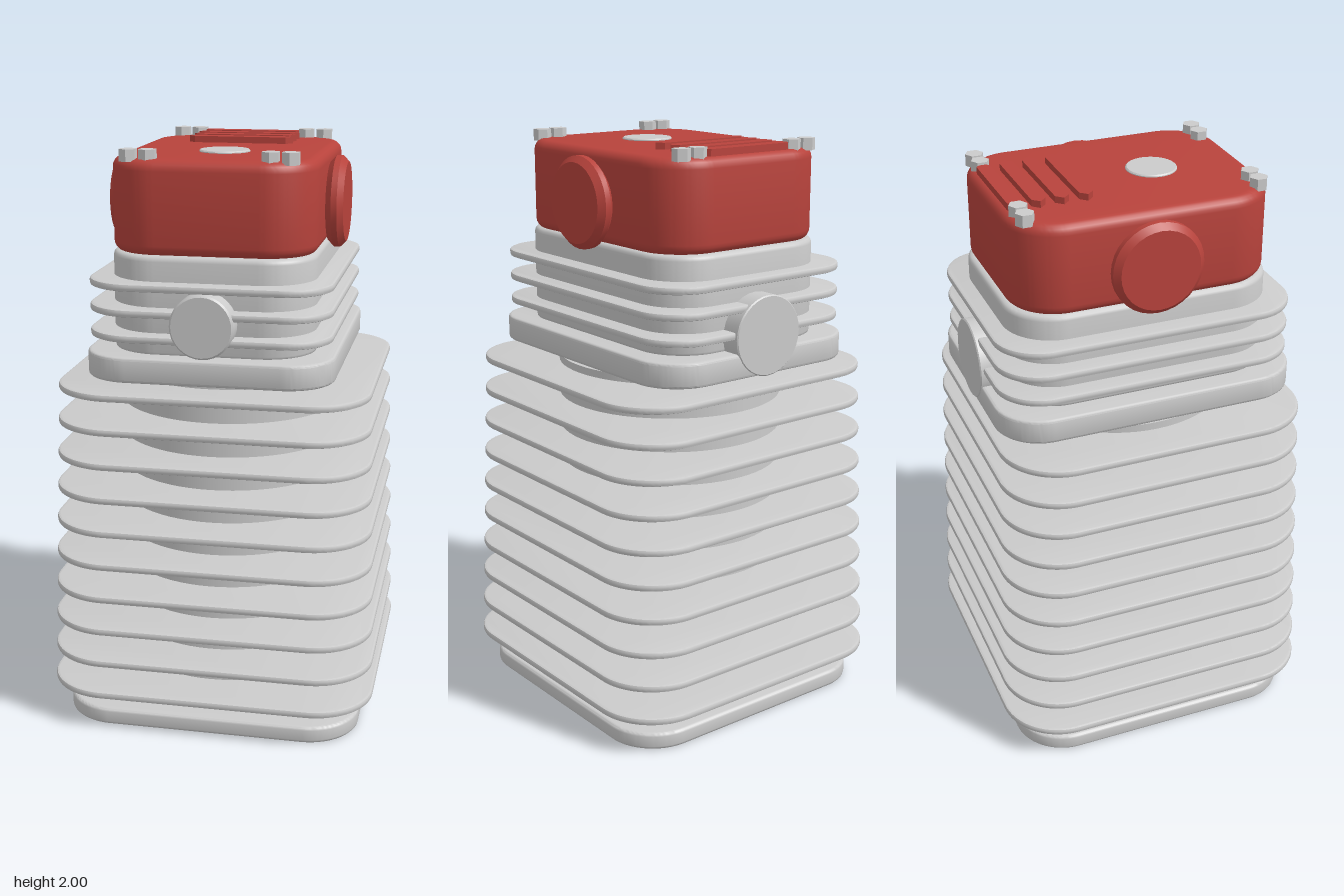
import * as THREE from 'three';
import { toCreasedNormals } from 'three/addons/utils/BufferGeometryUtils.js';

const grey = new THREE.MeshStandardMaterial({ color: 0xcccccc });
const red = new THREE.MeshStandardMaterial({ color: 0xb8433c });

// Rounded rectangle outline with half sizes a, b and corner radius r
function roundedRect(a, b, r) {
  const s = new THREE.Shape();
  s.absarc(a - r, b - r, r, 0, Math.PI / 2);
  s.absarc(-a + r, b - r, r, Math.PI / 2, Math.PI);
  s.absarc(-a + r, -b + r, r, Math.PI, Math.PI * 1.5);
  s.absarc(a - r, -b + r, r, Math.PI * 1.5, Math.PI * 2);
  s.closePath();
  return s;
}

function circle(r) {
  return new THREE.Shape().absarc(0, 0, r, 0, Math.PI * 2);
}

// Extrusion along z from 0 to h, with its edges bevelled inside the outline
function slab(shape, h, bevel, bevelSegments = 1) {
  const geo = new THREE.ExtrudeGeometry(shape, {
    depth: h - 2 * bevel, curveSegments: 16, bevelEnabled: true,
    bevelThickness: bevel, bevelSize: bevel, bevelOffset: -bevel, bevelSegments,
  });
  geo.translate(0, 0, bevel);
  return toCreasedNormals(geo, 0.6);
}

export function createModel() {
  const model = new THREE.Group();
  const add = (name, geo, mat = grey, parent = model) => {
    const mesh = new THREE.Mesh(geo, mat);
    mesh.name = name;
    parent.add(mesh);
    return mesh;
  };
  const group = (name) => {
    const g = new THREE.Group();
    g.name = name;
    model.add(g);
    return g;
  };
  // Horizontal plate from y0 to y1
  const plate = (name, a, b, r, y0, y1, bevel, segs = 3, mat = grey, parent = model) => {
    const geo = slab(roundedRect(a, b, r), y1 - y0, bevel, segs).rotateX(-Math.PI / 2);
    return add(name, geo.translate(0, y0, 0), mat, parent);
  };

  // Cylinder: base plate, round barrel and tapering stack of fins
  plate('basePlate', 0.52, 0.52, 0.18, 0, 0.06, 0.012);
  add('barrel', new THREE.CylinderGeometry(0.395, 0.395, 1.2, 64).translate(0, 0.64, 0));
  const barrelFins = group('barrelFins');
  for (let i = 0; i < 10; i++) {
    const half = 0.57 - 0.0039 * i, y = 0.135 + 0.1185 * i;
    plate('barrelFin', half, half, 0.21, y - 0.0125, y + 0.0125, 0.008, 2, grey, barrelFins);
  }

  // Cylinder head: flange, body and fins
  plate('headFlange', 0.417, 0.525, 0.16, 1.255, 1.34, 0.01);
  plate('headBody', 0.342, 0.457, 0.17, 1.33, 1.665, 0.018);
  const headFins = group('headFins');
  for (const y of [1.4, 1.485, 1.57]) {
    plate('headFin', 0.408, 0.516, 0.16, y - 0.0125, y + 0.0125, 0.008, 2, grey, headFins);
  }

  // Round ports on the front and back of the head
  add('frontPort', slab(circle(0.106), 0.13, 0.006).translate(0, 1.452, 0.397));
  add('backPort', slab(circle(0.136), 0.13, 0.004).rotateY(Math.PI).translate(0, 1.386, -0.398));

  // Rocker cover with bevelled side caps
  plate('rockerCover', 0.342, 0.446, 0.17, 1.66, 1.97, 0.035, 5, red);
  for (const side of [1, -1]) {
    const cap = slab(circle(0.155), 0.06, 0.02).rotateY(side * Math.PI / 2);
    add(side > 0 ? 'leftSideCap' : 'rightSideCap', cap.translate(side * 0.342, 1.795, 0), red);
  }

  // Filler cap and pointed ribs on the cover top
  add('fillerCap', slab(circle(0.086), 0.03, 0.004).rotateX(-Math.PI / 2).translate(0, 1.947, 0.13));
  const rib = new THREE.Shape([[0.185, 0], [0.163, 0.023], [-0.163, 0.023],
    [-0.185, 0], [-0.163, -0.023], [0.163, -0.023]].map(([x, y]) => new THREE.Vector2(x, y)));
  const ribs = group('coverRibs');
  for (const z of [-0.397, -0.318, -0.24, -0.16]) {
    const geo = new THREE.ExtrudeGeometry(rib, { depth: 0.03, bevelEnabled: false });
    add('coverRib', geo.rotateX(-Math.PI / 2).translate(0, 1.962, z), red, ribs);
  }

  // Pairs of hexagonal bolts at the four corners
  const bolts = group('bolts');
  for (const x of [-0.265, -0.2, 0.2, 0.265]) {
    for (const z of [-0.397, 0.392]) {
      const geo = toCreasedNormals(new THREE.CylinderGeometry(0.031, 0.031, 0.04, 6), 0.5);
      add('bolt', geo.translate(x, 1.98, z), grey, bolts);
    }
  }
  return model;
}
